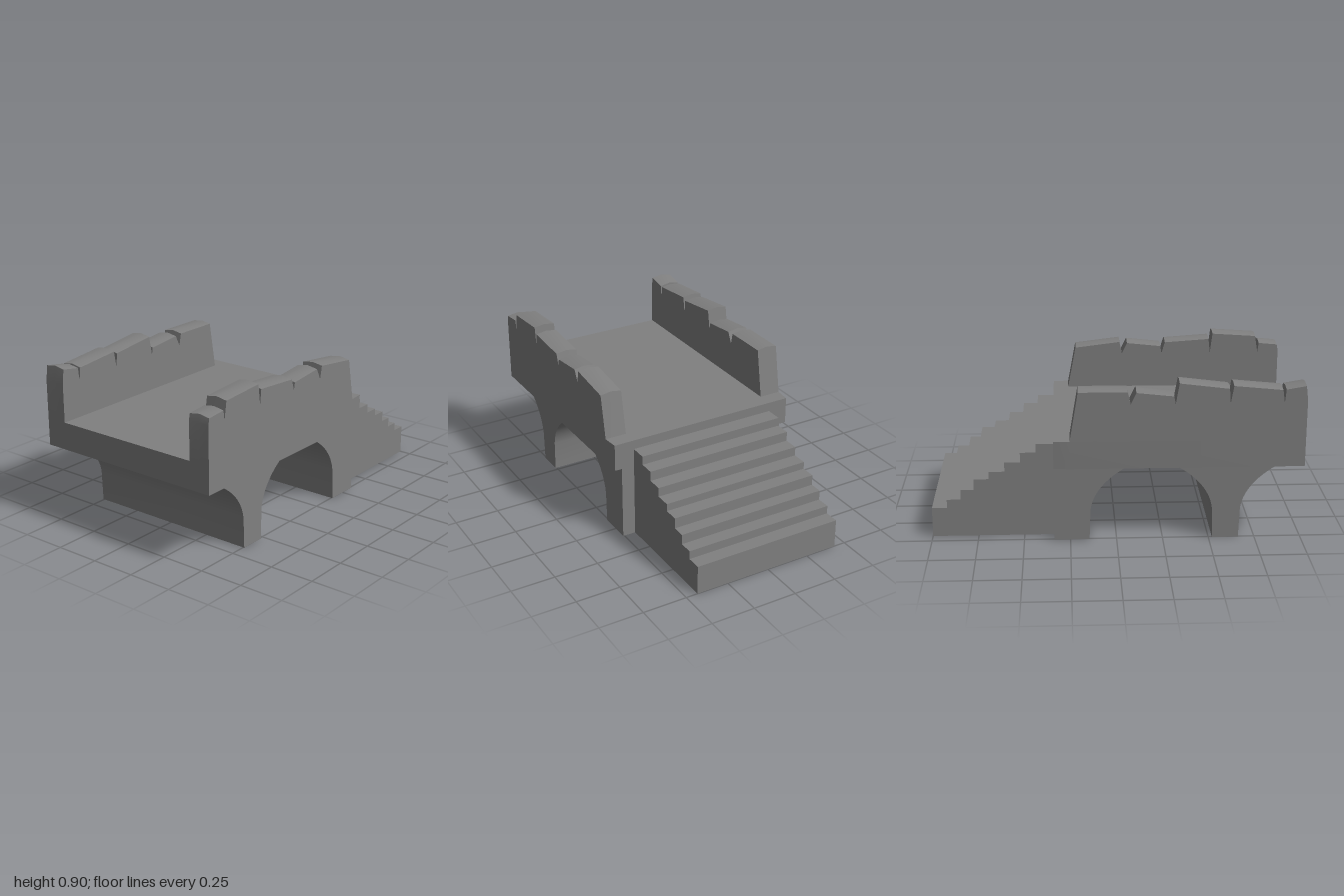
import * as THREE from 'three';
import { toCreasedNormals } from 'three/addons/utils/BufferGeometryUtils.js';

// Extrude a (z, y) side profile across x, from x0 to x1
function sideExtrude(shape, x0, x1, steps = 1) {
  const g = new THREE.ExtrudeGeometry(shape, { depth: x1 - x0, steps, bevelEnabled: false, curveSegments: 14 });
  g.rotateY(-Math.PI / 2);
  g.translate(x1, 0, 0);
  return g;
}

const polygon = (points) => new THREE.Shape(points.map(([z, y]) => new THREE.Vector2(z, y)));

export function createModel() {
  const model = new THREE.Group();
  model.name = 'stoneBridge';
  const stone = new THREE.MeshStandardMaterial({ color: 0x808080 });
  stone.name = 'grey stone';

  function add(name, geometry) {
    const mesh = new THREE.Mesh(toCreasedNormals(geometry, 0.5), stone);
    mesh.name = name;
    model.add(mesh);
  }

  const deckBottom = 0.425, deckTop = 0.578;
  const pierHalf = 0.507, inner = 0.433, outer = 0.555;

  // Deck slab, its rear corners drawn in slightly
  const plan = new THREE.Shape();
  plan.moveTo(-outer, -1);
  plan.lineTo(outer, -1);
  plan.lineTo(outer, 0.25);
  plan.lineTo(0.547, 0.337);
  plan.lineTo(-0.547, 0.337);
  plan.lineTo(-outer, 0.25);
  plan.closePath();
  const deck = new THREE.ExtrudeGeometry(plan, { depth: deckTop - deckBottom, bevelEnabled: false });
  deck.rotateX(-Math.PI / 2);
  deck.translate(0, deckBottom, 0);
  add('deck', deck);

  // Front pier, flaring into half arches on both sides
  const pier = new THREE.Shape();
  pier.moveTo(0.52, 0);
  pier.lineTo(0.662, 0);
  pier.lineTo(0.668, 0.17);
  pier.bezierCurveTo(0.68, 0.27, 0.76, 0.36, 0.88, deckBottom);
  pier.lineTo(0.305, deckBottom);
  pier.bezierCurveTo(0.43, 0.36, 0.505, 0.27, 0.516, 0.17);
  pier.closePath();
  add('frontPier', sideExtrude(pier, -pierHalf, pierHalf));

  // Rear abutment, arched on its front only
  const abutment = new THREE.Shape();
  abutment.moveTo(-0.337, 0);
  abutment.lineTo(-0.147, 0);
  abutment.lineTo(-0.141, 0.17);
  abutment.bezierCurveTo(-0.13, 0.27, -0.05, 0.36, 0.07, deckBottom);
  abutment.lineTo(-0.337, deckBottom);
  abutment.closePath();
  add('rearAbutment', sideExtrude(abutment, -pierHalf, pierHalf));

  // Staircase: [rear edge z, tread height]
  const treads = [
    [-1, 0.165], [-0.918, 0.212], [-0.842, 0.268], [-0.77, 0.328],
    [-0.688, 0.37], [-0.602, 0.422], [-0.517, 0.477], [-0.432, 0.526],
  ];
  const stairs = [[-0.337, 0]];
  for (let i = treads.length - 1; i >= 0; i--) {
    const [z, y] = treads[i];
    stairs.push([i + 1 < treads.length ? treads[i + 1][0] : -0.337, y], [z, y]);
  }
  stairs.push([-1, 0]);
  add('stairs', sideExtrude(polygon(stairs.reverse()), -inner, inner));

  // Worn parapets: each stone is [front z, front y, rear z, rear y], split by V notches
  const parapets = {
    1: [
      [0.993, 0.835, 0.885, 0.845], [0.862, 0.888, 0.608, 0.905], [0.585, 0.873, 0.325, 0.855],
      [0.298, 0.832, 0.1, 0.853], [0.055, 0.86, -0.205, 0.828],
    ],
    '-1': [
      [0.99, 0.88, 0.885, 0.862], [0.868, 0.86, 0.61, 0.885], [0.588, 0.87, 0.325, 0.902],
      [0.298, 0.832, 0.1, 0.853], [0.055, 0.858, -0.205, 0.858],
    ],
  };
  const notches = [0.878, 0.594, 0.306, 0.07];
  for (const side of [1, -1]) {
    const points = [[1, deckTop], [1, 0.79]];
    parapets[side].forEach(([z0, y0, z1, y1], i) => {
      points.push([z0, y0], [z1, y1]);
      if (i < notches.length) points.push([notches[i], 0.78]);
    });
    points.push([-0.25, deckTop]);
    const x0 = side > 0 ? inner : -outer;
    const g = sideExtrude(polygon(points), x0, x0 + outer - inner, 2);
    // Round the stone tops gently across the wall thickness
    const p = g.attributes.position;
    for (let i = 0; i < p.count; i++) {
      const off = Math.abs(Math.abs(p.getX(i)) - (inner + outer) / 2) / ((outer - inner) / 2);
      if (p.getY(i) > 0.8) p.setY(i, p.getY(i) - 0.01 * off);
    }
    g.computeVertexNormals();
    add(side > 0 ? 'leftParapet' : 'rightParapet', g);
  }

  return model;
}
